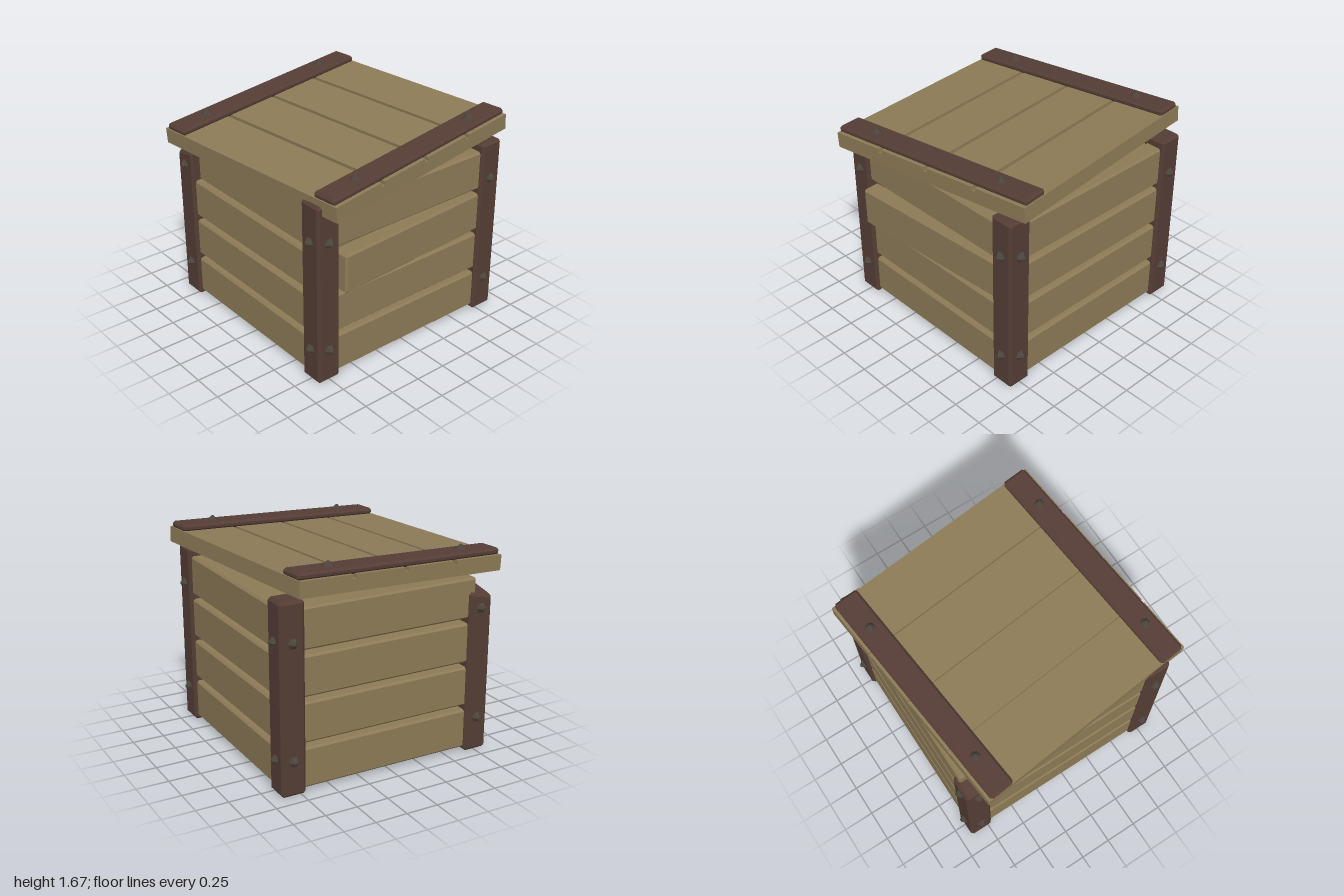
import * as THREE from 'three';
import { ConvexGeometry } from 'three/addons/geometries/ConvexGeometry.js';

const wood = new THREE.MeshStandardMaterial({ color: 0x8c7a56 });
const darkWood = new THREE.MeshStandardMaterial({ color: 0x543d35 });
const iron = new THREE.MeshStandardMaterial({ color: 0x4c443c });

function add(parent, name, geometry, material, x = 0, y = 0, z = 0) {
  const mesh = new THREE.Mesh(geometry, material);
  mesh.name = name;
  mesh.position.set(x, y, z);
  parent.add(mesh);
  return mesh;
}

// Box with chamfered edges; the rule may shift its corner points
function bevelBox(w, h, d, b, rule) {
  const points = [];
  for (const sx of [-1, 1]) for (const sy of [-1, 1]) for (const sz of [-1, 1]) {
    for (let axis = 0; axis < 3; axis++) {
      const inset = [b, b, b];
      inset[axis] = 0;
      const p = new THREE.Vector3(
        sx * (w / 2 - inset[0]), sy * (h / 2 - inset[1]), sz * (d / 2 - inset[2]));
      if (rule) rule(p);
      points.push(p);
    }
  }
  return new ConvexGeometry(points);
}

// Six-sided pointed stud, pointing along +y
const studGeometry = new THREE.CylinderGeometry(0.01, 0.045, 0.04, 6).toNonIndexed();
studGeometry.computeVertexNormals();

function createBody() {
  const body = new THREE.Group();
  body.name = 'crateBody';
  add(body, 'innerBox', new THREE.BoxGeometry(1.44, 1.33, 1.44), wood, 0, 0.7, 0);

  for (let side = 0; side < 4; side++) {
    const wall = new THREE.Group();
    wall.name = 'wall';
    wall.rotation.y = side * Math.PI / 2;
    body.add(wall);

    // Four planks per wall: one is cut short, one is pulled loose
    for (let row = 0; row < 4; row++) {
      const loose = side === 1 && row === 2;
      const cut = side === 0 && row === 3;
      const start = loose ? -0.685 : cut ? -0.625 : -0.75;
      const length = 0.75 - start;
      const hinge = new THREE.Group();
      hinge.name = loose ? 'loosePlank' : 'plank';
      hinge.position.set(0.75, 0.185 + row * 0.348, 0.785);
      if (loose) hinge.rotation.y = 0.059;
      wall.add(hinge);
      add(hinge, 'plankBoard', bevelBox(length, 0.31, 0.14, 0.015), wood, -length / 2, 0, 0);
    }

    // Studs on the outer post faces
    for (const x of [-0.783, 0.783]) for (const y of [0.27, 1.15]) {
      const stud = add(wall, 'postStud', studGeometry, iron, x, y, 0.897);
      stud.rotation.set(Math.PI / 2, Math.PI / 6, 0);
    }
  }

  // Corner posts, the front right one broken off at a slant
  for (const sx of [-1, 1]) for (const sz of [-1, 1]) {
    const broken = sx < 0 && sz > 0;
    const rule = broken
      ? (p) => { if (p.y > 0) p.y += -0.175 + p.x * 0.2 - p.z * 0.17; }
      : undefined;
    add(body, broken ? 'brokenPost' : 'cornerPost',
      bevelBox(0.195, 1.45, 0.195, 0.02, rule), darkWood, sx * 0.783, 0.725, sz * 0.783);
  }
  body.position.set(-0.025, 0, -0.025);
  return body;
}

function createLid() {
  const lid = new THREE.Group();
  lid.name = 'lid';
  add(lid, 'lidBase', new THREE.BoxGeometry(1.81, 0.09, 1.81), wood, 0, 0.045, 0);

  // Four boards separated by shallow grooves
  for (let i = 0; i < 4; i++) {
    const z0 = i === 0 ? -0.905 : -0.905 + i * 0.4525 + 0.016;
    const z1 = i === 3 ? 0.905 : -0.905 + (i + 1) * 0.4525 - 0.016;
    add(lid, 'lidBoard', new THREE.BoxGeometry(1.81, 0.03, z1 - z0), wood, 0, 0.105, (z0 + z1) / 2);
  }

  // Battens with studs
  for (const sx of [-1, 1]) {
    add(lid, 'lidBatten', bevelBox(0.2, 0.055, 1.81, 0.018), darkWood, sx * 0.785, 0.14, 0);
    for (const z of [-0.6, 0.6]) add(lid, 'lidStud', studGeometry, iron, sx * 0.785, 0.183, z);
  }

  // Lid lies askew and tilted forward
  lid.rotation.order = 'YXZ';
  lid.rotation.set(0.061, 0.105, 0);
  lid.position.y = 1.435;
  return lid;
}

export function createModel() {
  const model = new THREE.Group();
  model.name = 'crate';
  model.add(createBody(), createLid());
  return model;
}
